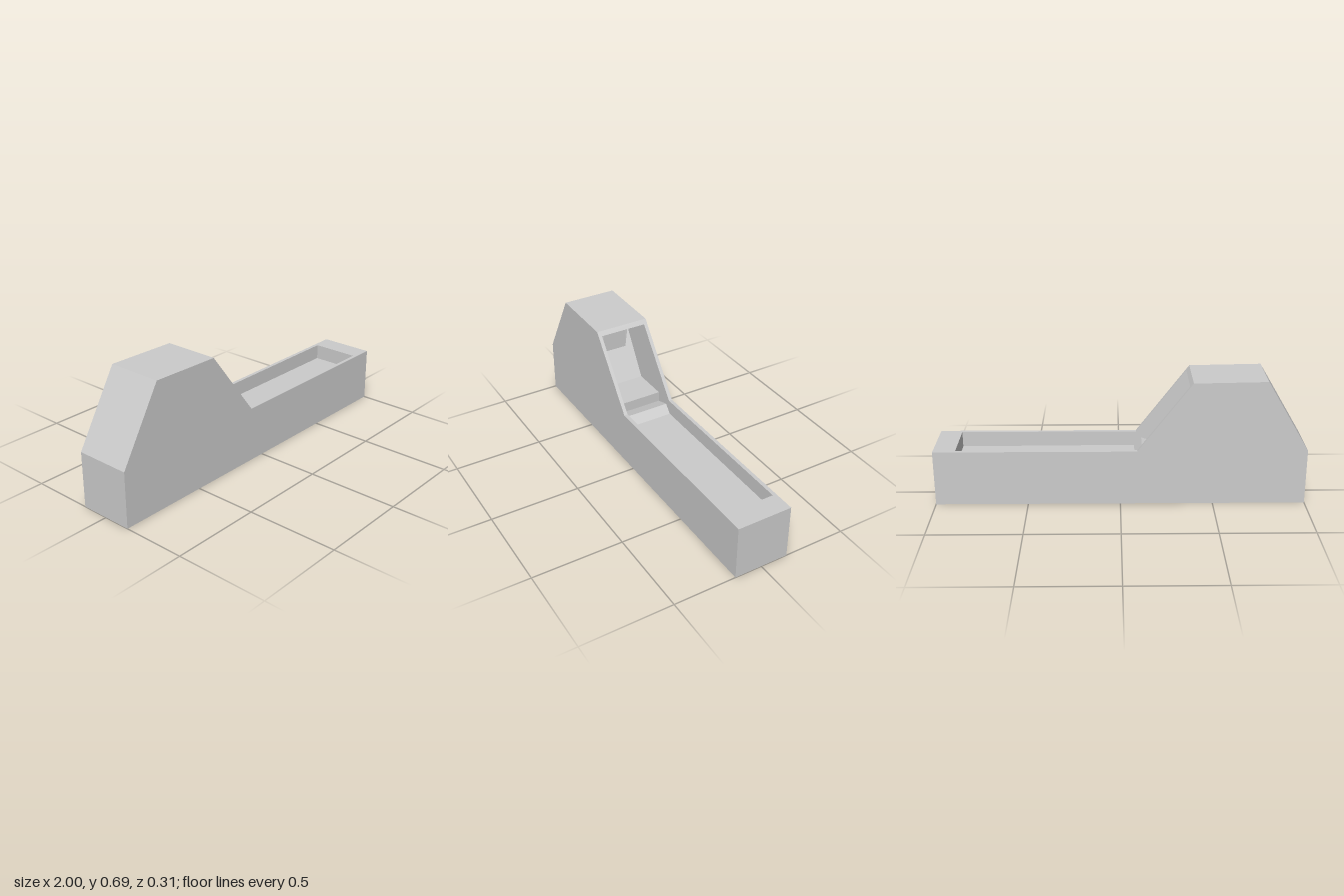
import * as THREE from 'three';

const HALF = 0.153; // half width of the body
const INNER = 0.133; // half width of the cabin and the bed

export function createModel() {
  const model = new THREE.Group();
  const material = new THREE.MeshStandardMaterial({ color: 0xcccccc, flatShading: true });

  const add = (name, geometry) => {
    const mesh = new THREE.Mesh(geometry, material);
    mesh.name = name;
    model.add(mesh);
    return mesh;
  };

  // Side profile extruded across z between two depths
  const slab = (points, z0, z1) => {
    const shape = new THREE.Shape(points.map(([x, y]) => new THREE.Vector2(x, y)));
    return new THREE.ExtrudeGeometry(shape, { depth: z1 - z0, bevelEnabled: false }).translate(0, 0, z0);
  };

  // Thin side walls carry the full silhouette
  const side = [
    [-1, 0.006], [1, 0.006], [1, 0.312], [-0.09, 0.312],
    [-0.38, 0.693], [-0.77, 0.7], [-1, 0.312],
  ];
  add('leftSideWall', slab(side, INNER, HALF));
  add('rightSideWall', slab(side, -HALF, -INNER));

  // Core between the walls: bed, ridge, seat, seat back and roof
  const core = [
    [-1, 0.006], [1, 0.006], [1, 0.312], [0.88, 0.312], // base and end wall
    [0.88, 0.226], [-0.08, 0.23], // sunken bed
    [-0.12, 0.275], [-0.2, 0.25], // foot ridge
    [-0.2, 0.308], [-0.4, 0.308], // seat
    [-0.62, 0.67], [-0.363, 0.67], // seat back and ceiling
    [-0.38, 0.693], [-0.77, 0.7], [-1, 0.312], // roof and rear slope
  ];
  add('bodyCore', slab(core, -INNER, INNER));

  // Head rest tapering forward and down from the seat back
  const headRest = new THREE.BoxGeometry(1, 1, 1);
  const p = headRest.attributes.position;
  for (let i = 0; i < p.count; i++) {
    const front = p.getX(i) > 0;
    const top = p.getY(i) > 0;
    const x = front ? -0.47 : top ? -0.62 : -0.553;
    const y = front ? (top ? 0.62 : 0.497) : (top ? 0.67 : 0.56);
    p.setXYZ(i, x, y, Math.sign(p.getZ(i)) * (front ? 0.07 : 0.13));
  }
  headRest.computeVertexNormals();
  add('headRest', headRest);

  return model;
}
